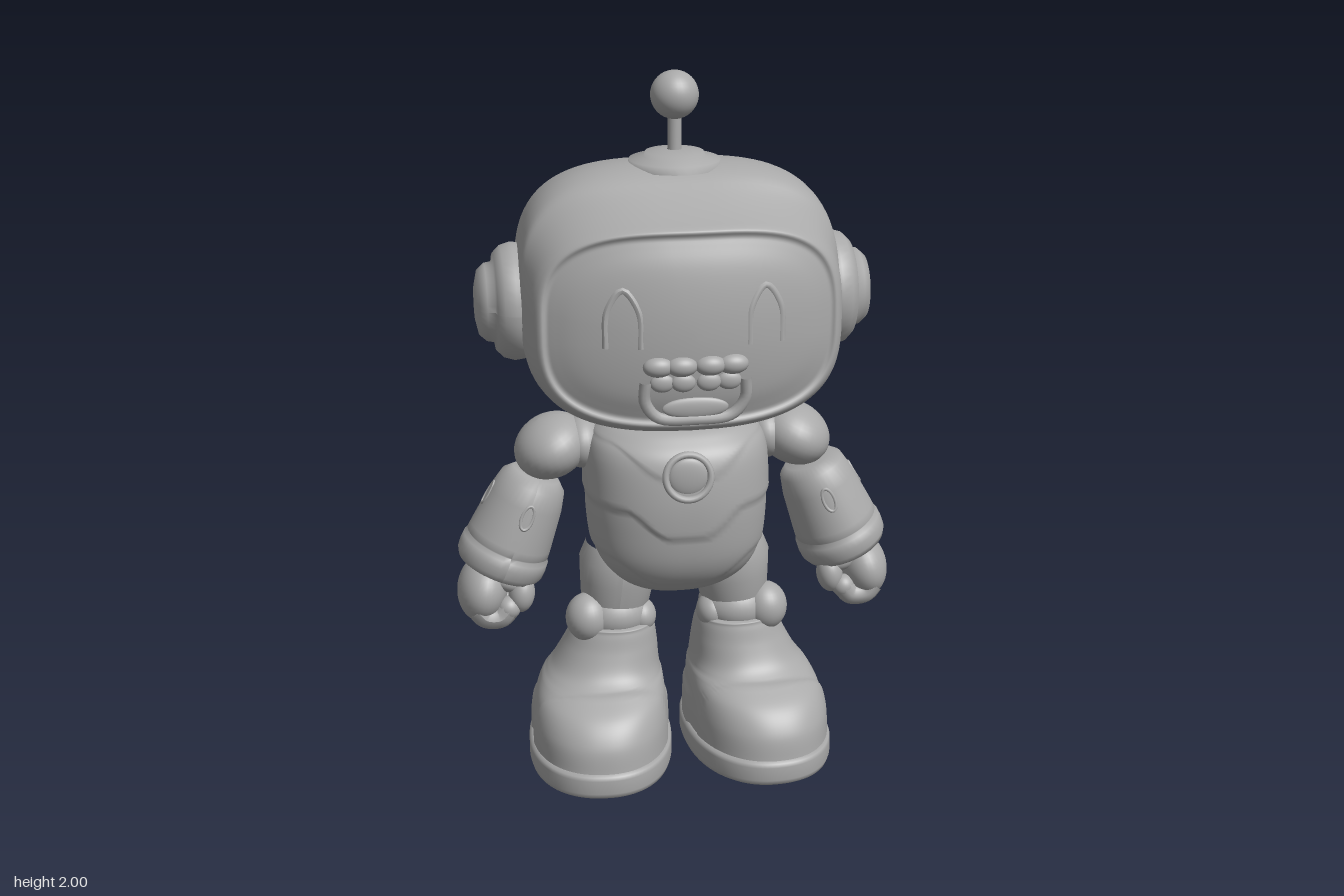
import * as THREE from 'three';

const { smoothstep } = THREE.MathUtils;
const V = (x, y, z) => new THREE.Vector3(x, y, z);
const shell = new THREE.MeshStandardMaterial({ color: 0xa9a9a9 });
shell.name = 'plain grey';

function add(parent, name, geometry, x = 0, y = 0, z = 0) {
  const mesh = new THREE.Mesh(geometry, shell);
  mesh.name = name;
  mesh.position.set(x, y, z);
  parent.add(mesh);
  return mesh;
}

function ball(parent, name, [x, y, z], [rx, ry, rz], tilt = 0) {
  const mesh = add(parent, name, new THREE.SphereGeometry(1, 32, 20), x, y, z);
  mesh.scale.set(rx, ry, rz);
  mesh.rotation.z = tilt;
  return mesh;
}

// Turned part whose profile [radius, height] runs along a direction
function turned(parent, name, profile, start, dir) {
  const pts = profile.map(([r, h]) => new THREE.Vector2(r, h));
  const mesh = add(parent, name, new THREE.LatheGeometry(pts, 40), ...start.toArray());
  mesh.quaternion.setFromUnitVectors(V(0, 1, 0), dir.clone().normalize());
  return mesh;
}

function tube(parent, name, points, r, closed = false) {
  const curve = new THREE.CatmullRomCurve3(points.map(p => V(...p)), closed);
  return add(parent, name, new THREE.TubeGeometry(curve, 32, r, 10, closed));
}

// Skin over rows [t, halfWidth, low, high, centreX]; map places each (x, s, t)
function loft(rows, power, sub, map, segs = 96) {
  const pos = [], index = [];
  const row = i => rows[Math.max(0, Math.min(rows.length - 1, i))];
  const spline = (a, b, c, d, f) => sub === 1 ? b : b + 0.5 * f * (c - a + f * (2 * a - 5 * b + 4 * c - d + f * (3 * (b - c) + d - a)));
  const bulge = v => Math.sign(v) * Math.abs(v) ** (2 / power);
  const count = (rows.length - 1) * sub;
  for (let k = 0; k <= count; k++) {
    const i = Math.floor(k / sub), f = (k % sub) / sub;
    const [t, w, lo, hi, cx] = [0, 1, 2, 3, 4].map(j =>
      spline(row(i - 1)[j] || 0, row(i)[j] || 0, row(i + 1)[j] || 0, row(i + 2)[j] || 0, f));
    for (let n = 0; n < segs; n++) {
      const a = n / segs * Math.PI * 2;
      pos.push(...map(cx + w * bulge(Math.cos(a)), (lo + hi) / 2 + (hi - lo) / 2 * bulge(Math.sin(a)), t));
      if (k < count) {
        const p = k * segs + n, q = k * segs + (n + 1) % segs;
        index.push(p, q, p + segs, q, q + segs, p + segs);
      }
    }
  }
  const g = new THREE.BufferGeometry();
  g.setAttribute('position', new THREE.Float32BufferAttribute(pos, 3));
  g.setIndex(index);
  g.computeVertexNormals();
  return g;
}

// Mirrored copy of a left-hand group
function mirrored(group, name) {
  const out = new THREE.Group();
  out.name = name;
  group.updateMatrixWorld(true);
  group.traverse(m => {
    if (!m.isMesh) return;
    const g = m.geometry.clone().applyMatrix4(m.matrixWorld).scale(-1, 1, 1);
    const ix = g.index.array;
    for (let i = 0; i < ix.length; i += 3) [ix[i], ix[i + 1]] = [ix[i + 1], ix[i]];
    g.attributes.normal && g.computeVertexNormals();
    add(out, m.name, g);
  });
  return out;
}

// Curvature of the face
const bend = (x, y) => 0.6 * x * x + 0.5 * (y - 1.34) ** 2;
const faceZ = (x, y) => 0.364 - bend(x, y);

function buildHead() {
  const head = new THREE.Group();
  head.name = 'head';
  // Rows from the back to the face: rim, groove, then screen
  const rows = [
    [-0.387, 0, 1.37, 1.37], [-0.385, 0.16, 1.25, 1.5], [-0.37, 0.25, 1.17, 1.59], [-0.33, 0.325, 1.1, 1.655],
    [-0.26, 0.385, 1.07, 1.7], [-0.15, 0.43, 1.06, 1.735], [0, 0.44, 1.06, 1.757], [0.12, 0.44, 1.06, 1.74],
    [0.23, 0.437, 1.062, 1.7], [0.32, 0.427, 1.075, 1.655], [0.352, 0.415, 1.09, 1.64], [0.362, 0.4, 1.105, 1.63],
    [0.352, 0.385, 1.12, 1.615], [0.354, 0.365, 1.14, 1.595], [0.362, 0.3, 1.19, 1.54], [0.364, 0.15, 1.28, 1.44], [0.364, 0, 1.36, 1.36],
  ];
  add(head, 'headShell', loft(rows, 3.1, 4, (x, y, t) => [x, y, t - smoothstep(t, 0.06, 0.31) * bend(x, y)]));

  // Antenna
  const up = V(0, 1, 0);
  turned(head, 'antennaBase', [[0.13, 0], [0.125, 0.02], [0.085, 0.028], [0.08, 0.04], [0.03, 0.046], [0, 0.046]], V(0, 1.74, 0), up);
  turned(head, 'antennaStem', [[0.024, 0], [0.019, 0.02], [0.019, 0.14]], V(0, 1.77, 0), up);
  ball(head, 'antennaBall', [0, 1.934, 0], [0.066, 0.066, 0.066]);

  // Mouth
  const lip = [[-0.135, 1.24], [-0.135, 1.18], [-0.1, 1.135], [0, 1.127], [0.1, 1.135], [0.135, 1.18], [0.135, 1.24]];
  tube(head, 'lowerLip', lip.map(([x, y]) => [x, y, faceZ(x, y) + 0.004]), 0.016);
  ball(head, 'tongue', [0, 1.16, faceZ(0, 1.16)], [0.09, 0.03, 0.012]);
  for (const x of [-0.1, -0.038, 0.038, 0.1]) {
    ball(head, 'upperLip', [x, 1.28, faceZ(x, 1.28) - 0.004], [0.042, 0.028, 0.028]);
    ball(head, 'tooth', [x * 0.9, 1.235, faceZ(x, 1.235)], [0.033, 0.026, 0.016]);
  }
  return head;
}

function buildTorso() {
  const torso = new THREE.Group();
  torso.name = 'torso';
  const rows = [
    [1.035, 0, 0, 0], [1.033, 0.16, -0.15, 0.13], [1.0, 0.225, -0.195, 0.19], [0.95, 0.25, -0.215, 0.225],
    [0.85, 0.257, -0.218, 0.24], [0.75, 0.257, -0.21, 0.238], [0.65, 0.243, -0.185, 0.222], [0.58, 0.205, -0.15, 0.185],
    [0.53, 0.135, -0.1, 0.125], [0.512, 0.06, -0.05, 0.06], [0.508, 0, 0, 0],
  ];
  // Stepped armour plates: chest, belly and collar
  const plates = (x, z, y) => {
    const a = Math.abs(x);
    const chest = y - 0.73 - 0.08 * smoothstep(a, 0.05, 0.17);
    const belly = y - 0.565 - 0.09 * smoothstep(a, 0.06, 0.22);
    const collar = y - 0.91 - 0.08 * smoothstep(a, 0.06, 0.2);
    const k = 0.98 + 0.03 * smoothstep(chest, 0, 0.012) + 0.02 * smoothstep(belly, 0, 0.012)
      + (z > 0 ? 0.02 * smoothstep(collar, 0, 0.012) : 0);
    return [x * k, y, z * k];
  };
  add(torso, 'chest', loft(rows, 2.4, 9, plates, 112));
  add(torso, 'neck', new THREE.CylinderGeometry(0.125, 0.135, 0.1, 40), 0, 1.04, -0.01);
  add(torso, 'chestBadgeRing', new THREE.TorusGeometry(0.063, 0.01, 10, 36), 0, 0.92, 0.24).rotation.x = -0.2;
  ball(torso, 'chestBadge', [0, 0.92, 0.238], [0.055, 0.055, 0.014]);
  return torso;
}

function buildLeftSide() {
  const side = new THREE.Group();
  side.name = 'leftSide';

  // Ear cup and eye
  turned(side, 'earCup', [[0.14, 0], [0.16, 0.02], [0.164, 0.05], [0.155, 0.08], [0.135, 0.1], [0.112, 0.104],
    [0.108, 0.125], [0.09, 0.145], [0.05, 0.154], [0, 0.157]], V(0.4, 1.37, -0.025), V(1, 0, 0));
  const eye = [[0.145, 1.33], [0.15, 1.43], [0.19, 1.485], [0.23, 1.43], [0.235, 1.33]];
  tube(side, 'eyeArch', eye.map(([x, y]) => [x, y, faceZ(x, y) - 0.009]), 0.012);

  // Arm
  ball(side, 'shoulder', [0.35, 0.94, -0.025], [0.11, 0.088, 0.125], -0.45);
  ball(side, 'shoulderJoint', [0.265, 0.95, -0.02], [0.06, 0.075, 0.09]);
  const elbow = V(0.395, 0.86, -0.02), wrist = V(0.515, 0.575, -0.02);
  const axis = wrist.clone().sub(elbow).normalize();
  const arm = turned(side, 'forearm', [[0, 0], [0.07, 0], [0.095, 0.025], [0.108, 0.08], [0.122, 0.2], [0.124, 0.222], [0.117, 0.228],
    [0.129, 0.238], [0.131, 0.26], [0.129, 0.285], [0.12, 0.302], [0.095, 0.308], [0, 0.285]], elbow, axis);
  arm.scale.z = 1.06;
  for (const a of [0, Math.PI / 2, -Math.PI / 2]) {
    // Raised slot frames around the sleeve
    const slot = [];
    for (let i = 0; i < 12; i++) {
      const p = i / 12 * Math.PI * 2, h = 0.1 + 0.035 * Math.cos(p), b = a + 0.15 * Math.sin(p);
      const r = 0.094 + h * 0.14;
      const out = V(-axis.y, axis.x, 0).multiplyScalar(Math.cos(b) * r).add(V(0, 0, Math.sin(b) * r * 1.06));
      slot.push(elbow.clone().addScaledVector(axis, h).add(out).toArray());
    }
    tube(side, 'sleeveSlot', slot, 0.005, true);
  }

  // Hand with curled fingers and thumb
  ball(side, 'palm', [0.56, 0.525, 0], [0.072, 0.095, 0.112], 0.2);
  for (const z of [-0.065, 0, 0.065]) {
    tube(side, 'finger', [[0.58, 0.49, z], [0.555, 0.462, z], [0.515, 0.46, z], [0.49, 0.485, z]], 0.034);
    ball(side, 'fingertip', [0.49, 0.485, z], [0.034, 0.034, 0.034]);
  }
  ball(side, 'thumb', [0.452, 0.52, 0.05], [0.038, 0.056, 0.045], 0.15);
  ball(side, 'thumbBase', [0.49, 0.56, 0.03], [0.06, 0.035, 0.05], 0.4);

  // Thigh and knee
  turned(side, 'thigh', [[0.085, 0], [0.1, 0.05], [0.108, 0.11], [0.115, 0.17], [0.1, 0.22]], V(0.18, 0.42, -0.005), V(-0.02, 0.2, 0));
  ball(side, 'knee', [0.18, 0.43, 0], [0.108, 0.085, 0.108]);
  ball(side, 'kneePad', [0.262, 0.43, 0.045], [0.064, 0.072, 0.068]);
  ball(side, 'innerKneeCap', [0.105, 0.42, 0.03], [0.045, 0.05, 0.055]);

  // Boot, toes turned slightly out
  const foot = new THREE.Group();
  foot.name = 'foot';
  foot.position.x = 0.225;
  foot.rotation.y = 0.1;
  side.add(foot);
  const boot = [
    [0.415, 0, 0, 0, -0.045], [0.41, 0.1, -0.1, 0.1, -0.045], [0.395, 0.118, -0.115, 0.113, -0.043], [0.34, 0.136, -0.14, 0.128, -0.034],
    [0.28, 0.155, -0.17, 0.155, -0.02], [0.245, 0.17, -0.19, 0.2, -0.01], [0.2, 0.184, -0.212, 0.28, -0.003],
    [0.14, 0.192, -0.224, 0.323, 0], [0.07, 0.194, -0.226, 0.335, 0],
  ];
  // Heel guard and toe cap stand out from the boot
  const layers = (x, z, y) => {
    const heel = smoothstep(0.18 - y, 0, 0.012) * smoothstep(0.05 - z, 0, 0.02);
    const toe = smoothstep(z - 0.19 + 2 * x * x, 0, 0.015) * smoothstep(0.3 - y, 0, 0.05);
    const strap = smoothstep(0.25 - y, 0, 0.012);
    const k = 1 + 0.03 * heel + 0.02 * toe + 0.02 * strap;
    return [x * k, y + 0.008 * toe, z * k];
  };
  add(foot, 'boot', loft(boot, 2.2, 7, layers));
  const sole = [
    [0.078, 0, 0.05, 0.05], [0.078, 0.195, -0.235, 0.34], [0.07, 0.206, -0.245, 0.353], [0.06, 0.209, -0.248, 0.357],
    [0.02, 0.209, -0.248, 0.357], [0.006, 0.205, -0.244, 0.352], [0, 0.196, -0.235, 0.343], [0, 0.188, -0.227, 0.335], [0, 0, 0.05, 0.05],
  ];
  add(foot, 'sole', loft(sole, 2.25, 1, (x, z, y) => [x, y, z]));
  return side;
}

export function createModel() {
  const model = new THREE.Group();
  model.name = 'robot';
  const left = buildLeftSide();
  model.add(buildHead(), buildTorso(), left, mirrored(left, 'rightSide'));
  return model;
}
